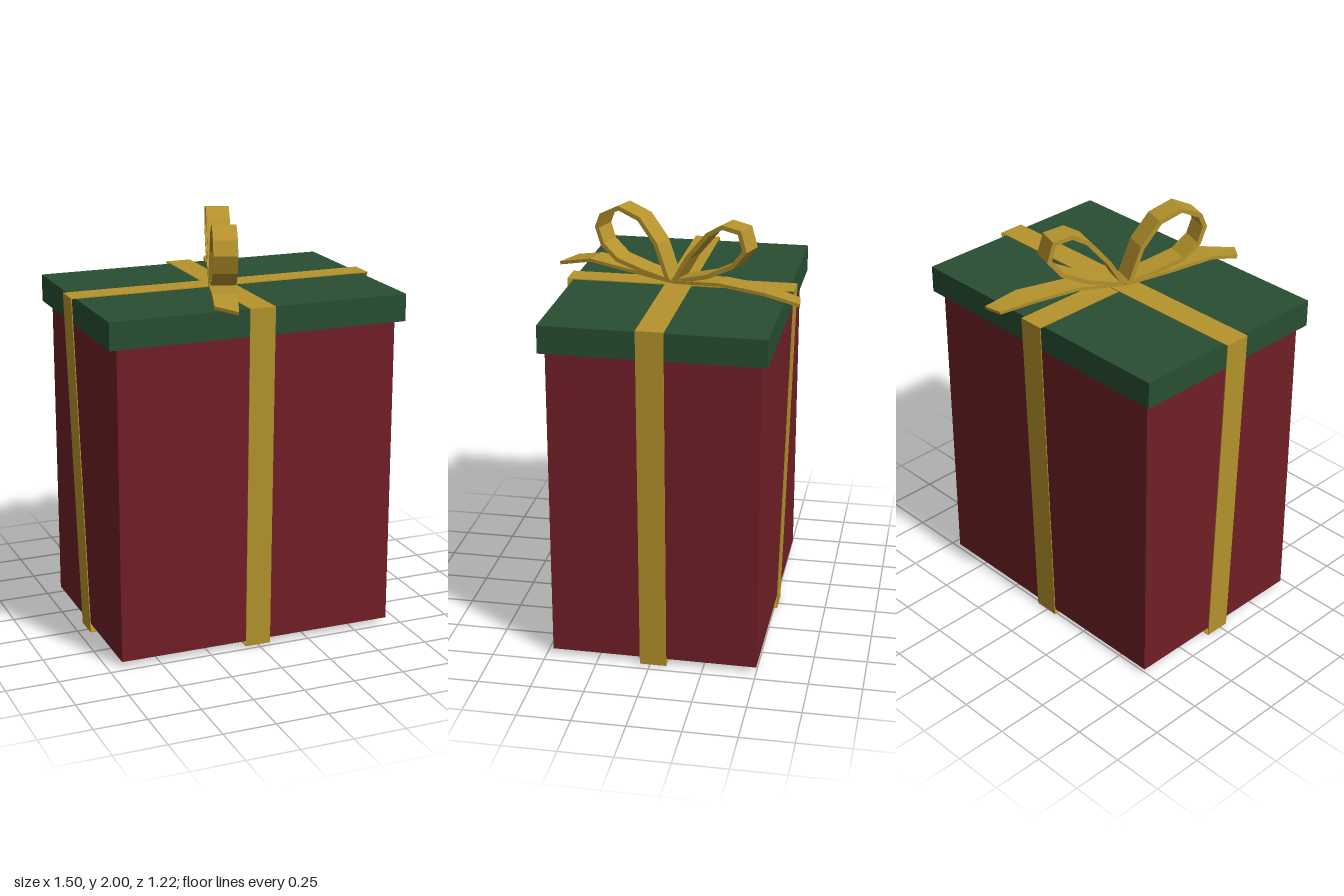
import * as THREE from 'three';

const paint = (color) => new THREE.MeshStandardMaterial({ color, flatShading: true, side: THREE.DoubleSide });
const V = (x, y, z) => new THREE.Vector3(x, y, z);

// Ribbon of even thickness stretched between two matching edge paths
function ribbonGeometry(left, right, thickness) {
  const mid = left.map((l, i) => l.clone().add(right[i]).multiplyScalar(0.5));
  const last = mid.length - 1;
  const sections = mid.map((m, i) => {
    const before = m.clone().sub(mid[Math.max(i - 1, 0)]).normalize();
    const after = mid[Math.min(i + 1, last)].clone().sub(m).normalize();
    const tangent = before.clone().add(after).normalize();
    const miter = Math.max(0.5, tangent.dot(i < last ? after : before));
    const across = right[i].clone().sub(left[i]);
    const n = tangent.cross(across).normalize().multiplyScalar(thickness / 2 / miter);
    return [left[i].clone().add(n), right[i].clone().add(n), right[i].clone().sub(n), left[i].clone().sub(n)];
  });
  const points = [];
  const quad = (a, b, c, d) => points.push(a, b, c, a, c, d);
  for (let i = 0; i < last; i++) {
    const s = sections[i], t = sections[i + 1];
    for (let k = 0; k < 4; k++) quad(s[k], t[k], t[(k + 1) % 4], s[(k + 1) % 4]);
  }
  quad(...sections[0]);
  quad(...sections[last].slice().reverse());
  const geometry = new THREE.BufferGeometry().setFromPoints(points);
  geometry.computeVertexNormals();
  return geometry;
}

export function createModel() {
  const model = new THREE.Group();
  model.name = 'giftBox';
  const red = paint(0x701f26), green = paint(0x284e32), gold = paint(0xb5932c);

  const add = (parent, name, geometry, material) => {
    const mesh = new THREE.Mesh(geometry, material);
    mesh.name = name;
    parent.add(mesh);
    return mesh;
  };

  // Box, lid and wrapping share a slight turn
  const parcel = new THREE.Group();
  parcel.name = 'parcel';
  parcel.rotation.y = -0.005;
  model.add(parcel);
  add(parcel, 'box', new THREE.BoxGeometry(1.365, 1.505, 0.97), red).position.set(0.003, 0.7775, -0.018);
  add(parcel, 'lid', new THREE.BoxGeometry(1.45, 0.13, 1.025), green).position.set(0.005, 1.59, -0.022);

  // Wrapping ribbons: closed loops, wider at the top than at the base
  const wrap = (name, path, place, half) => add(parcel, name,
    ribbonGeometry(path.map(([u, y]) => place(u, y, -half)), path.map(([u, y]) => place(u, y, half)), 0.004), gold);
  const loopPath = (t0, t1, b0, b1, top, base) =>
    [[0, base], [b0, base], [t0, top], [t1, top], [b1, base], [0, base]];
  wrap('lengthwiseRibbon', loopPath(-0.75, 0.75, -0.695, 0.705, 1.664, 0.002),
    (u, y, w) => V(u, y, -0.018 - w), 0.063);
  wrap('crosswiseRibbon', loopPath(0.515, -0.56, 0.482, -0.515, 1.66, 0.008),
    (u, y, w) => V(w - 0.002, y, u), 0.062);

  // Bow loops, drawn as side profiles (along, height) and turned diagonally
  const bow = new THREE.Group();
  bow.name = 'bow';
  model.add(bow);
  const loops = {
    frontBowLoop: [[0.02, 1.675], [0.08, 1.84], [0.165, 1.95], [0.27, 1.988], [0.36, 1.94], [0.383, 1.88],
      [0.355, 1.80], [0.28, 1.735], [0.15, 1.70], [0.01, 1.673]],
    backBowLoop: [[-0.01, 1.675], [-0.08, 1.80], [-0.18, 1.925], [-0.25, 1.97], [-0.335, 1.957], [-0.36, 1.87],
      [-0.30, 1.79], [-0.18, 1.725], [-0.01, 1.673]],
  };
  for (const [name, path] of Object.entries(loops)) {
    const edge = (x) => path.map(([z, y]) => V(x, y, z / 0.946));
    add(bow, name, ribbonGeometry(edge(-0.056), edge(0.056), 0.021), gold).rotation.y = -0.33;
  }

  // Loose tails with slanted ends: left and right edges
  add(bow, 'frontBowTail', ribbonGeometry(
    [V(-0.055, 1.672, -0.02), V(-0.135, 1.69, 0.2), V(-0.205, 1.712, 0.4), V(-0.245, 1.685, 0.53)],
    [V(0.05, 1.672, 0.02), V(-0.03, 1.69, 0.24), V(-0.095, 1.71, 0.44), V(-0.16, 1.668, 0.605)], 0.016), gold);
  add(bow, 'backBowTail', ribbonGeometry(
    [V(-0.05, 1.672, -0.02), V(0.03, 1.697, -0.24), V(0.09, 1.69, -0.44), V(0.165, 1.66, -0.6)],
    [V(0.055, 1.672, 0.02), V(0.14, 1.697, -0.22), V(0.227, 1.69, -0.45), V(0.255, 1.657, -0.61)], 0.016), gold);

  return model;
}
